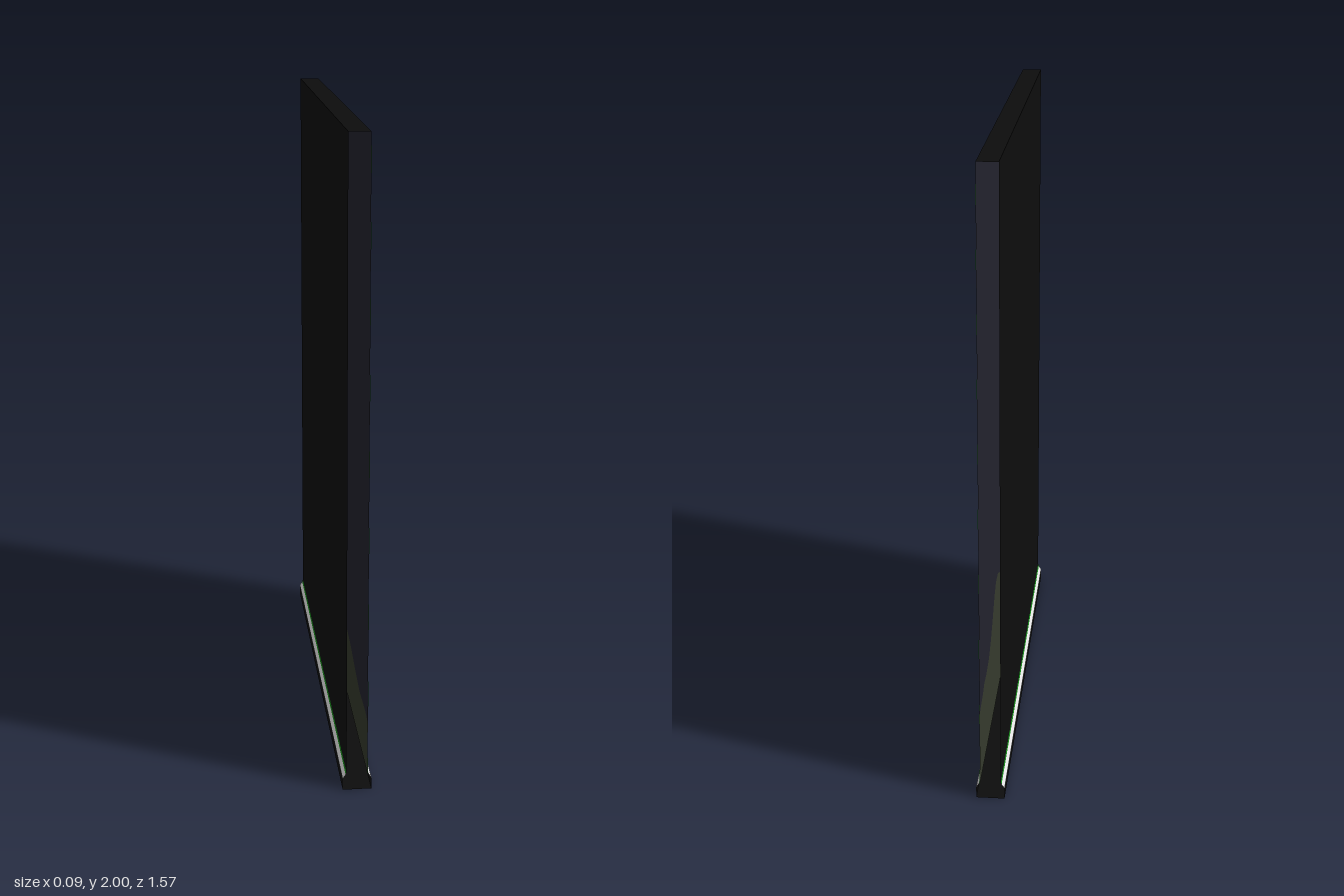
import * as THREE from 'three';

const HALF = 0.787;   // half the panel length along z
const FACE = 0.032;   // half the panel thickness
const FOOT = 0.044;   // half the base width
const TOP = 2;

function material(name, color) {
  const m = new THREE.MeshStandardMaterial({ color, side: THREE.DoubleSide });
  m.name = name;
  return m;
}

export function createModel() {
  const mats = {
    sky: material('night sky', 0x23232e),
    hill: material('dark olive', 0x363b2d),
    moon: material('pale moon', 0xcab083),
    star: material('gold', 0xad8536),
    black: material('black', 0x0d0d0d),
    white: material('white', 0xe6e6e6),
    green: material('green', 0x158a18),
  };
  const model = new THREE.Group();
  model.name = 'standingPicture';

  function add(parent, name, geometry, mat) {
    const mesh = new THREE.Mesh(geometry, mat);
    mesh.name = name;
    parent.add(mesh);
    return mesh;
  }

  // Open strip running the full length in z between two profile points
  function strip(name, x1, y1, x2, y2, mat) {
    const g = new THREE.PlaneGeometry(HALF * 2, Math.hypot(x2 - x1, y2 - y1));
    g.rotateY(Math.PI / 2);
    g.rotateZ(Math.atan2(y2 - y1, x2 - x1) - Math.PI / 2);
    g.translate((x1 + x2) / 2, (y1 + y2) / 2, 0);
    add(model, name, g, mat);
  }

  // Panel back and top; the ends stay open
  strip('backPanel', -FACE, 0.05, -FACE, TOP, mats.black);
  strip('topPanel', -FACE, TOP, FACE, TOP, mats.black);

  // Base channel, mirrored on both sides
  strip('baseBottom', -FOOT, 0, FOOT, 0, mats.black);
  for (const s of [-1, 1]) {
    strip('baseWall', s * FOOT, 0, s * FOOT, 0.037, mats.black);
    strip('whiteLedge', s * FOOT, 0.037, s * 0.035, 0.05, mats.white);
    strip('greenBead', s * 0.035, 0.05, s * (FACE + 0.0005), 0.058, mats.green);
  }

  // Picture: drawn facing +z, then turned to face +x
  const picture = new THREE.Group();
  picture.name = 'picture';
  picture.rotation.y = Math.PI / 2;
  picture.position.x = FACE;
  model.add(picture);

  const points = (list) => list.map(([x, y]) => new THREE.Vector2(x / 100, y / 100));
  function flat(name, pts, mat, z = 0) {
    add(picture, name, new THREE.ShapeGeometry(new THREE.Shape(pts)), mat).position.z = z;
  }

  // Skyline with the long-necked animal, shared by the sky and the hill
  const skyline = points([
    [-78.7, 22], [-72, 22.8], [-57, 22.2], [-45.5, 24], [-32, 26.7], [-16.5, 28.3], [-1, 29.5],
    [-1, 31.5], [-6.3, 41], [-6.3, 51.5], [-7, 58], [-8.5, 59.3], [-13.7, 58.7], [-18, 60],
    [-19.6, 63], [-17, 65.5], [-12, 67.8], [-7.5, 69.7], [-3, 69.3], [-0.5, 66.5],
    [0.3, 59.5], [0.5, 49], [2, 42.8], [5.8, 41.8], [12.7, 45.8], [19, 48.5], [26, 48.5],
    [31.2, 45.8], [37.5, 40.5], [43.4, 36.2], [49.7, 33], [57.7, 31.8], [64.5, 32],
    [68.2, 30.7], [78.7, 29.1],
  ]);
  const corner = (x, y) => new THREE.Vector2(x, y);
  flat('hill', [corner(-HALF, 0.05), corner(HALF, 0.05), ...[...skyline].reverse()], mats.hill);
  flat('sky', [...skyline, corner(HALF, TOP), corner(-HALF, TOP)], mats.sky);

  // Dark slivers along the horizon
  const slivers = [
    [[-74, 22.5], [-72, 23.6], [-60, 22.8], [-57, 22.2], [-66, 22.4]],
    [[-42, 24.7], [-33, 28.2], [-29, 28.6], [-20, 28.2], [-32, 26.7]],
    [[66, 31.2], [69, 31.8], [78.7, 30.4], [78.7, 29.2], [68.2, 30.6]],
  ];
  for (const s of slivers) flat('horizonShadow', points(s), mats.black, 0.001);

  // Crescent moon
  flat('moon', points([
    [-16, 155.5], [-19, 158], [-24, 161], [-30, 162], [-37, 162], [-43, 157.5], [-48, 151],
    [-51, 143], [-51, 136], [-49, 129], [-44, 125], [-38, 122], [-31, 121], [-22, 122],
    [-16, 126], [-14, 130], [-14, 132.5],
    [-16, 132], [-19, 129], [-24, 127], [-31, 127], [-36, 129.5], [-40, 134], [-41.5, 139],
    [-41, 145], [-38, 150.5], [-33, 154], [-28, 155.5], [-21, 155], [-16, 153.5],
  ]), mats.moon, 0.001);

  // Stars with one point down, and small dots around them
  for (const [x, y, r, tilt] of [[0.42, 1.695, 0.074, 0], [-0.66, 0.922, 0.069, 0.05]]) {
    const pts = [];
    for (let i = 0; i < 10; i++) {
      const a = -Math.PI / 2 + tilt + (i * Math.PI) / 5;
      const d = i % 2 ? r * 0.56 : r;
      pts.push(corner(x + d * Math.cos(a), y + d * Math.sin(a)));
    }
    flat('star', pts, mats.star, 0.001);
  }
  const dots = [[0.27, 1.78, 0.012], [0.468, 1.556, 0.014], [0.39, 1.505, 0.012],
    [-0.675, 1.07, 0.013], [-0.47, 0.865, 0.007]];
  for (const [x, y, r] of dots) {
    add(picture, 'starDot', new THREE.CircleGeometry(r, 10), mats.star).position.set(x, y, 0.001);
  }

  // Thin green edging down both ends of the picture
  for (const s of [-1, 1]) {
    const edge = add(picture, 'greenEdge', new THREE.PlaneGeometry(0.004, TOP - 0.05), mats.green);
    edge.position.set(s * (HALF - 0.002), (TOP + 0.05) / 2, 0.001);
  }
  return model;
}
